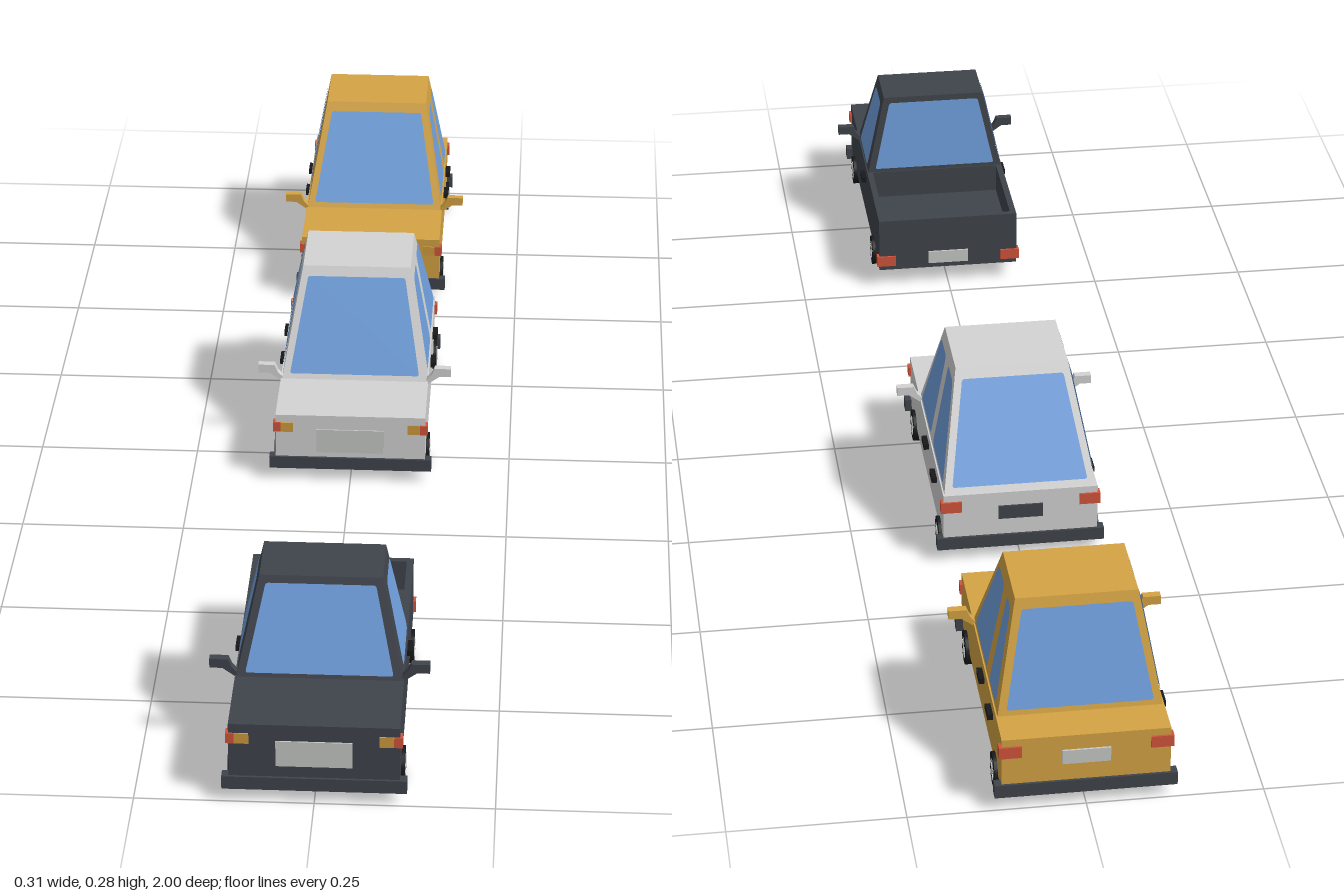
import * as THREE from 'three';

const mat = (name, hex, side = THREE.FrontSide) => {
  const m = new THREE.MeshStandardMaterial({ color: hex, side });
  m.name = name;
  return m;
};

export function createModel() {
  const M = {
    charcoal: mat('charcoal', 0x3f444b),
    white: mat('white paint', 0xd2d3d2),
    yellow: mat('yellow paint', 0xd4a344),
    glass: mat('window glass', 0x6f9fdd, THREE.DoubleSide),
    plate: mat('plate grey', 0xc6cac6),
    tyre: mat('tyre black', 0x18191b),
    red: mat('red lamp', 0xd2543a),
    amber: mat('amber lamp', 0xd09a3c),
  };
  const lerp = THREE.MathUtils.lerp;

  const add = (group, name, geo, material) => {
    const mesh = new THREE.Mesh(geo, material);
    mesh.name = name;
    group.add(mesh);
    return mesh;
  };

  // Box given by its limits on each axis
  const box = (group, name, material, x0, x1, y0, y1, z0, z1) => {
    const mesh = add(group, name, new THREE.BoxGeometry(x1 - x0, y1 - y0, z1 - z0), material);
    mesh.position.set((x0 + x1) / 2, (y0 + y1) / 2, (z0 + z1) / 2);
    return mesh;
  };
  // Same box on both sides of the car
  const pair = (group, name, material, x0, x1, ...rest) => {
    box(group, name + 'Left', material, x0, x1, ...rest);
    box(group, name + 'Right', material, -x1, -x0, ...rest);
  };

  // Flat polygon with softly rounded corners
  const roundedShape = (pts, r) => {
    const v = pts.map(p => new THREE.Vector2(...p));
    const s = new THREE.Shape();
    v.forEach((p, i) => {
      const toward = q => p.clone().add(q.clone().sub(p).setLength(r));
      const a = toward(v[(i + v.length - 1) % v.length]);
      const b = toward(v[(i + 1) % v.length]);
      if (i) s.lineTo(a.x, a.y); else s.moveTo(a.x, a.y);
      s.quadraticCurveTo(p.x, p.y, b.x, b.y);
    });
    s.closePath();
    return s;
  };

  // Window pane: flat shape laid on a sloping cabin face by a mapping rule
  const pane = (group, name, pts, r, rule) => {
    const geo = new THREE.ShapeGeometry(roundedShape(pts, r), 4);
    const p = geo.attributes.position;
    for (let i = 0; i < p.count; i++) p.setXYZ(i, ...rule(p.getX(i), p.getY(i)));
    geo.computeVertexNormals();
    add(group, name, geo, M.glass);
  };

  // Tapered cabin with glass on every side
  const cabin = (group, paint, c) => {
    const at = (a, b, y) => lerp(a, b, (y - c.y0) / (c.y1 - c.y0));
    const halfW = y => at(0.116, 0.086, y);
    const front = y => at(c.front[0], c.front[1], y);
    const rear = y => at(c.rear[0], c.rear[1], y);
    const geo = new THREE.BoxGeometry(2, 1, 1);
    const p = geo.attributes.position;
    for (let i = 0; i < p.count; i++) {
      const y = p.getY(i) > 0 ? c.y1 : c.y0;
      p.setXYZ(i, Math.sign(p.getX(i)) * halfW(y), y, p.getZ(i) > 0 ? front(y) : rear(y));
    }
    geo.computeVertexNormals();
    add(group, 'cabin', geo, paint);

    const [b, t] = c.glassY;
    const wb = halfW(b) - 0.011, wt = halfW(t) - 0.011;
    const screen = [[-wb, b], [wb, b], [wt, t], [-wt, t]];
    pane(group, 'windscreen', screen, 0.004, (x, y) => [x, y, front(y) + 0.003]);
    pane(group, 'rearWindow', screen, 0.004, (x, y) => [x, y, rear(y) - 0.003]);
    // Each side window: front bottom, rear bottom, rear top, front top (z)
    c.sides.forEach((w, i) => {
      const pts = [[w[0], b], [w[1], b], [w[2], t - 0.005], [w[3], t - 0.005]];
      for (const s of [1, -1])
        pane(group, `sideWindow${i + 1}${s > 0 ? 'Left' : 'Right'}`, pts, 0.01,
          (z, y) => [s * (halfW(y) + 0.002), y, z]);
    });
  };

  // Wheel with spoked rim
  const wheel = (group, side, z) => {
    const w = new THREE.Group();
    w.name = 'wheel';
    const tyre = add(w, 'tyre', new THREE.CylinderGeometry(0.025, 0.025, 0.028, 20), M.tyre);
    tyre.rotation.z = Math.PI / 2;
    const rim = add(w, 'rim', new THREE.RingGeometry(0.013, 0.016, 20), M.plate);
    rim.rotation.y = Math.PI / 2;
    rim.position.x = 0.0145;
    for (let i = 0; i < 5; i++) {
      const spoke = add(w, 'spoke', new THREE.BoxGeometry(0.002, 0.013, 0.004), M.plate);
      const a = i * Math.PI * 2 / 5;
      spoke.rotation.x = a;
      spoke.position.set(0.014, Math.cos(a) * 0.008, Math.sin(a) * 0.008);
    }
    w.position.set(side * 0.109, 0.025, z);
    if (side < 0) w.rotation.y = Math.PI;
    group.add(w);
  };

  // Door mirror: slanted arm and flat head
  const mirrors = (group, paint, y, z) => {
    for (const s of [1, -1]) {
      const pts = [[0.112, 0], [0.118, -0.003], [0.136, 0.01], [0.154, 0.01], [0.154, 0.024], [0.128, 0.024], [0.123, 0.012]];
      const shape = new THREE.Shape(pts.map(p => new THREE.Vector2(s * p[0], p[1])));
      const geo = new THREE.ExtrudeGeometry(shape, { depth: 0.012, bevelEnabled: false });
      add(group, s > 0 ? 'mirrorLeft' : 'mirrorRight', geo, paint).position.set(0, y, z - 0.006);
    }
  };

  // Everything the three cars share
  const car = (name, paint, c) => {
    const g = new THREE.Group();
    g.name = name;
    const { z0, z1, lampY, plateY } = c;
    cabin(g, paint, c.cabin);
    mirrors(g, paint, c.cabin.y0, c.mirrorZ);
    for (const z of c.wheels) for (const s of [1, -1]) wheel(g, s, z);
    for (const z of c.handles)
      pair(g, 'doorHandle', M.tyre, 0.117, 0.126, lampY - 0.004, lampY + 0.005, z - 0.014, z + 0.014);
    box(g, 'frontBumper', M.charcoal, -0.128, 0.128, 0.02, 0.04, z1 - 0.016, z1);
    pair(g, 'headlight', M.amber, 0.09, 0.11, lampY - 0.008, lampY + 0.008, z1 - 0.015, z1 - 0.002);
    pair(g, 'cornerLamp', M.red, 0.11, 0.122, lampY - 0.008, lampY + 0.008, z1 - 0.016, z1 - 0.002);
    box(g, 'frontPlate', M.plate, -0.053, 0.053, plateY - 0.02, plateY + 0.02, z1 - 0.008, z1 - 0.002);
    const [ty, py] = c.tail;
    pair(g, 'tailLight', M.red, 0.09, 0.122, ty - 0.009, ty + 0.009, z0 + 0.001, z0 + 0.015);
    box(g, 'rearPlate', c.rearPlate, -0.034, 0.034, py - 0.011, py + 0.011, z0 + 0.001, z0 + 0.008);
    return g;
  };

  const sedan = (name, paint, c) => {
    const g = car(name, paint, { lampY: 0.092, plateY: 0.069, tail: [0.093, 0.079], ...c });
    box(g, 'body', paint, -0.118, 0.118, 0.03, 0.113, c.z0 + 0.004, c.z1 - 0.004);
    box(g, 'rearBumper', M.charcoal, -0.128, 0.128, 0.02, 0.04, c.z0, c.z0 + 0.016);
    return g;
  };

  const model = new THREE.Group();
  model.name = 'threeCars';

  // Pickup with an open bed
  const pickup = car('pickup', M.charcoal, {
    z0: 0.53, z1: 1, lampY: 0.101, plateY: 0.078, tail: [0.047, 0.05], rearPlate: M.plate,
    wheels: [0.93, 0.62], handles: [0.75], mirrorZ: 0.862,
    cabin: {
      y0: 0.123, y1: 0.26, front: [0.873, 0.825], rear: [0.722, 0.732], glassY: [0.13, 0.251],
      sides: [[0.846, 0.736, 0.742, 0.812]],
    },
  });
  box(pickup, 'body', M.charcoal, -0.118, 0.118, 0.03, 0.123, 0.72, 0.996);
  box(pickup, 'bedFloor', M.charcoal, -0.118, 0.118, 0.03, 0.075, 0.534, 0.72);
  pair(pickup, 'bedWall', M.charcoal, 0.108, 0.118, 0.075, 0.123, 0.534, 0.72);
  box(pickup, 'tailgate', M.charcoal, -0.108, 0.108, 0.075, 0.123, 0.534, 0.544);
  model.add(pickup);

  model.add(sedan('whiteHatchback', M.white, {
    z0: -0.355, z1: 0.085, rearPlate: M.charcoal,
    wheels: [0.015, -0.31], handles: [-0.155, -0.255], mirrorZ: -0.05,
    cabin: {
      y0: 0.112, y1: 0.277, front: [-0.042, -0.121], rear: [-0.346, -0.25], glassY: [0.122, 0.263],
      sides: [[-0.066, -0.178, -0.178, -0.122], [-0.206, -0.33, -0.257, -0.206]],
    },
  }));

  model.add(sedan('yellowSedan', M.yellow, {
    z0: -1, z1: -0.563, rearPlate: M.plate,
    wheels: [-0.63, -0.937], handles: [-0.805, -0.895], mirrorZ: -0.695,
    cabin: {
      y0: 0.112, y1: 0.277, front: [-0.688, -0.774], rear: [-0.938, -0.895], glassY: [0.122, 0.263],
      sides: [[-0.712, -0.829, -0.829, -0.777], [-0.857, -0.92, -0.889, -0.857]],
    },
  }));

  return model;
}
